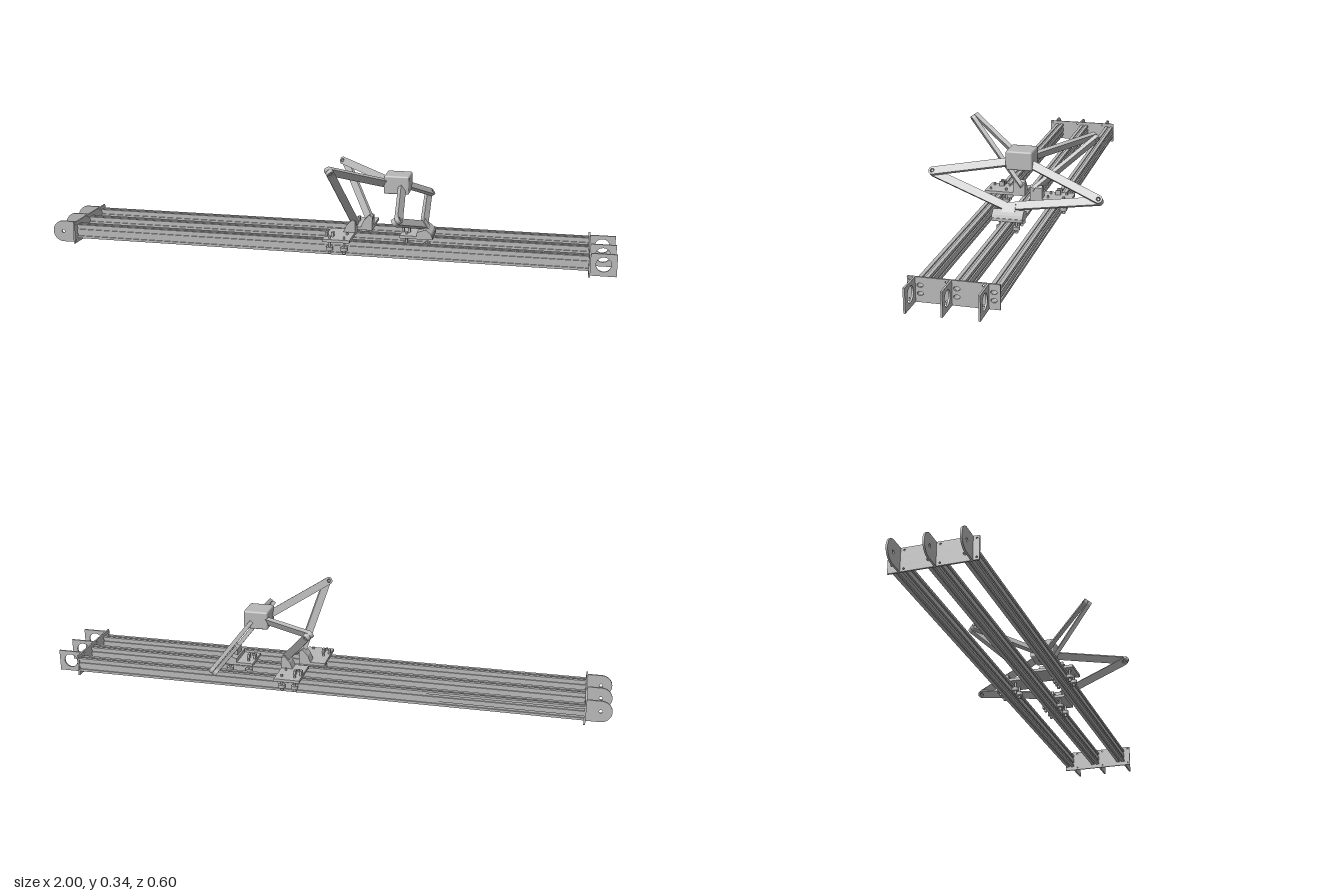
import * as THREE from 'three';
import { RoundedBoxGeometry } from 'three/addons/geometries/RoundedBoxGeometry.js';

const metal = new THREE.MeshStandardMaterial({ color: 0xb8b8b8 });
metal.name = 'grey metal';
const V = (x, y, z) => new THREE.Vector3(x, y, z);

function add(parent, name, geo, x = 0, y = 0, z = 0) {
  const m = new THREE.Mesh(geo, metal);
  m.name = name;
  m.position.set(x, y, z);
  parent.add(m);
  return m;
}
const polygon = (pts) => new THREE.Shape(pts.map(([x, y]) => new THREE.Vector2(x, y)));
const extrude = (shape, depth) =>
  new THREE.ExtrudeGeometry(shape, { depth, bevelEnabled: false, curveSegments: 12 });
function hole(shape, x, y, rx, ry = rx) {
  const p = new THREE.Path();
  p.absellipse(x, y, rx, ry, 0, Math.PI * 2, true);
  shape.holes.push(p);
}
// box given by its limits on each axis
function block(parent, name, x0, x1, y0, y1, z0, z1) {
  return add(parent, name, new THREE.BoxGeometry(x1 - x0, y1 - y0, z1 - z0),
    (x0 + x1) / 2, (y0 + y1) / 2, (z0 + z1) / 2);
}

const railZ = [0.117, 0.008, -0.101];
const holeY = [0.027, 0.052];

// slotted two-cell rail section: local x is width, y is height
function railShape() {
  const half = [[0.004, 0.065], [0.004, 0.061], [0.016, 0.065]];
  const right = [[0.004, 0.0145], [0.016, 0.0145]];
  for (const y of holeY) {
    right.push([0.016, y - 0.004], [0.0115, y - 0.004], [0.0115, y + 0.004], [0.016, y + 0.004]);
  }
  right.push(half[2], half[0], half[1]);
  const left = right.map(([x, y]) => [-x, y]).reverse();
  const s = polygon([...right, ...left, [-0.004, 0.0185], [0.004, 0.0185]]);
  for (const y of holeY) hole(s, 0, y, 0.009, 0.006);
  return s;
}

// end plate across all rails, with a mounting flange beside each rail
function endBracket(parent, side) {
  const g = new THREE.Group();
  g.name = side > 0 ? 'leftEndBracket' : 'rightEndBracket';
  parent.add(g);
  const plate = polygon([[-0.12, 0], [0.156, 0], [0.156, 0.077], [-0.12, 0.077]]);
  for (const z of railZ) {
    for (const y of holeY) hole(plate, z, y, 0.0095, 0.0065);
    for (const y of [0.009, 0.069]) hole(plate, z + 0.031, y, 0.003);
  }
  const p = add(g, 'endPlate', extrude(plate, 0.006), side > 0 ? 0.908 : -0.914);
  p.rotation.y = -Math.PI / 2;
  p.position.x += 0.006;

  const flange = new THREE.Shape();
  if (side > 0) {
    flange.moveTo(0.91, 0).lineTo(1, 0).lineTo(1, 0.077).lineTo(0.91, 0.077).closePath();
    hole(flange, 0.956, 0.04, 0.025);
  } else {
    flange.moveTo(-0.91, 0.077).lineTo(-0.9615, 0.077);
    flange.absarc(-0.9615, 0.0385, 0.0385, Math.PI / 2, Math.PI * 1.5, false);
    flange.lineTo(-0.91, 0).closePath();
    hole(flange, -0.9615, 0.0385, 0.006);
  }
  for (const z of railZ) add(g, 'motorFlange', extrude(flange, 0.006), 0, 0, z + 0.014);
}

// sliding plate with rollers, bolts and belt clamp
function carriage(parent, name, x0, x1, z0, z1, railCentre) {
  const g = new THREE.Group();
  g.name = name;
  parent.add(g);
  block(g, 'slidePlate', x0, x1, 0.066, 0.076, z0, z1);
  for (const s of [-1, 1]) {
    for (const x of [x0 + 0.022, x1 - 0.022]) {
      const z = railCentre + s * 0.028;
      add(g, 'roller', new THREE.CylinderGeometry(0.012, 0.012, 0.012, 20), x, 0.04, z);
      add(g, 'rollerShaft', new THREE.CylinderGeometry(0.004, 0.004, 0.062, 12), x, 0.053, z);
      add(g, 'rollerNut', new THREE.CylinderGeometry(0.006, 0.006, 0.006, 6), x, 0.027, z);
    }
  }
  for (const x of [x0 + 0.006, x0 + 0.028]) {
    block(g, 'beltClamp', x - 0.004, x + 0.004, 0.076, 0.092, railCentre - 0.009, railCentre + 0.009);
  }
  return g;
}

// flat round-ended bar from a to b, with a pin hole at a
function link(parent, name, a, b, n, offset) {
  const d = b.clone().sub(a), len = d.length(), r = 0.0135;
  d.normalize();
  const s = new THREE.Shape();
  s.moveTo(0, -r).lineTo(len, -r);
  s.absarc(len, 0, r, -Math.PI / 2, Math.PI / 2, false);
  s.lineTo(0, r);
  s.absarc(0, 0, r, Math.PI / 2, Math.PI * 1.5, false);
  hole(s, 0, 0, 0.007);
  const m = add(parent, name, extrude(s, 0.014));
  m.quaternion.setFromRotationMatrix(new THREE.Matrix4().makeBasis(d, n.clone().cross(d), n));
  m.position.copy(a).addScaledVector(n, offset);
}

// two hinged bars lying in the plane of their three joints
function arm(parent, name, base, elbow, hub) {
  const g = new THREE.Group();
  g.name = name;
  parent.add(g);
  const n = base.clone().sub(elbow).cross(hub.clone().sub(elbow)).normalize();
  if (n.y < 0) n.negate();
  link(g, 'lowerLink', elbow, base, n, -0.0145);
  link(g, 'upperLink', elbow, hub, n, 0.0005);
  const pin = add(g, 'elbowPin', new THREE.CylinderGeometry(0.0045, 0.0045, 0.026, 14));
  pin.position.copy(elbow);
  pin.quaternion.setFromUnitVectors(V(0, 1, 0), n);
}

export function createModel() {
  const model = new THREE.Group();
  model.name = 'linearRailRobot';

  // rails and their end brackets
  const railGeo = extrude(railShape(), 1.82);
  for (const z of railZ) add(model, 'rail', railGeo, -0.91, 0, z).rotation.y = Math.PI / 2;
  for (const side of [-1, 1]) endBracket(model, side);

  // carriages, each with a wedge carrying the arm joints
  const front = carriage(model, 'frontCarriage', 0.012, 0.107, 0.016, 0.162, railZ[0]);
  const back = carriage(model, 'backCarriage', 0.064, 0.155, -0.155, -0.015, railZ[2]);
  const middle = carriage(model, 'middleCarriage', 0.265, 0.38, -0.045, 0.06, railZ[1]);
  const wedge = polygon([[0.065, 0.075], [0.107, 0.075], [0.107, 0.115], [0.095, 0.122], [0.075, 0.1]]);
  add(front, 'jointBlock', extrude(wedge, 0.042), 0, 0, 0.016);
  add(back, 'jointBlock', extrude(wedge, 0.042), 0.048, 0, -0.057);
  const slope = polygon([[0.325, 0.075], [0.378, 0.075], [0.374, 0.086], [0.355, 0.101], [0.325, 0.09]]);
  add(middle, 'jointBlock', extrude(slope, 0.105), 0, 0, -0.045);
  const tower = polygon([[0.33, 0.085], [0.37, 0.085], [0.345, 0.122], [0.33, 0.115]]);
  add(middle, 'jointTower', extrude(tower, 0.045), 0, 0, -0.015);

  // end effector hub
  add(model, 'hub', new RoundedBoxGeometry(0.088, 0.065, 0.09, 2, 0.006), 0.247, 0.248, -0.01);
  add(model, 'hubMount', new THREE.CylinderGeometry(0.03, 0.022, 0.02, 20), 0.24, 0.222, -0.01);

  // four folding arms
  arm(model, 'frontInnerArm', V(0.098, 0.112, 0.03), V(0.047, 0.323, 0.208), V(0.215, 0.247, 0.025));
  arm(model, 'backInnerArm', V(0.138, 0.112, -0.025), V(0.016, 0.27, -0.212), V(0.215, 0.242, -0.045));
  arm(model, 'frontOuterArm', V(0.348, 0.115, 0.03), V(0.289, 0.19, 0.287), V(0.258, 0.235, 0.01));
  arm(model, 'backOuterArm', V(0.348, 0.115, -0.015), V(0.326, 0.146, -0.287), V(0.258, 0.235, -0.03));
  return model;
}
